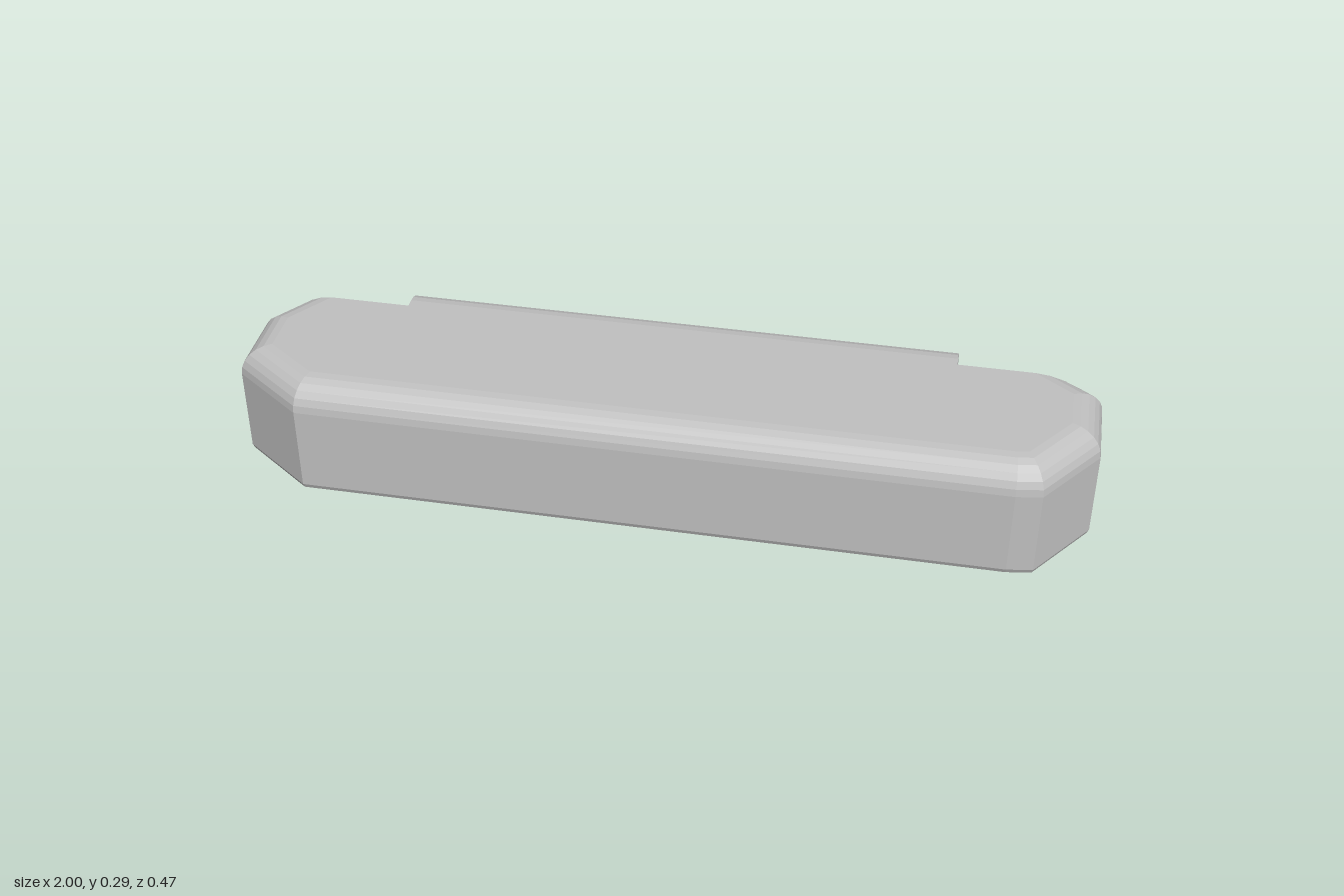
import * as THREE from 'three';

const HEIGHT = 0.293, ROUND = 0.071, STEP_X = 0.66;

// Plan outline at full width, [x, z], from back right round the front to back left
const OUTLINE = [
  [0.83, -0.235], [1, -0.11], [1, 0.06], [0.88, 0.225], [0.82, 0.235],
  [-0.83, 0.235], [-1, 0.11], [-1, -0.06], [-0.88, -0.225], [-0.82, -0.235],
];

// Moves every outline edge inward by d
function insetOutline(d) {
  const n = OUTLINE.length;
  const lines = OUTLINE.map(([x, z], i) => {
    const [x2, z2] = OUTLINE[(i + 1) % n];
    const len = Math.hypot(x2 - x, z2 - z);
    const nx = -(z2 - z) / len, nz = (x2 - x) / len;
    return { nx, nz, c: nx * x + nz * z + d };
  });
  return lines.map((b, i) => {
    const a = lines[(i + n - 1) % n];
    const det = a.nx * b.nz - a.nz * b.nx;
    return [(a.c * b.nz - a.nz * b.c) / det, (a.nx * b.c - a.c * b.nx) / det];
  });
}

// Concave wall of the rear end notches
const notchZ = (y) => -0.083 - (0.408 - Math.sqrt(0.408 ** 2 - (y - 0.085) ** 2));

// Trims an end corner against the notch wall: returns [wall point, corner]
function trimCorner(corner, beyond, cut) {
  if (corner[1] < cut) return [[corner[0], cut], [corner[0], cut]];
  const t = (cut - corner[1]) / (beyond[1] - corner[1]);
  return [[corner[0] + t * (beyond[0] - corner[0]), cut], corner];
}

// Horizontal cross-section at height y
function section(y, inset) {
  const p = insetOutline(inset), cut = notchZ(y), back = p[0][1];
  const [rightWall, rightCorner] = trimCorner(p[1], p[0], cut);
  const [leftWall, leftCorner] = trimCorner(p[7], p[8], cut);
  return [
    [STEP_X, back], [STEP_X, cut], rightWall, rightCorner,
    ...p.slice(2, 7),
    leftCorner, leftWall, [-STEP_X, cut], [-STEP_X, back],
  ].map(([x, z]) => new THREE.Vector3(x, y, z));
}

function bodyGeometry() {
  // Small bottom bevel, straight wall, then the rounded top edge
  const levels = [[0, 0.005], [0.012, 0]];
  for (const y of [0.045, 0.085, 0.125, 0.16, 0.195]) levels.push([y, 0]);
  const steps = 6;
  for (let i = 0; i <= steps; i++) {
    const a = (i / steps) * Math.PI / 2;
    levels.push([HEIGHT - ROUND + ROUND * Math.sin(a), ROUND * (1 - Math.cos(a))]);
  }
  const rings = levels.map(([y, d]) => section(y, d));
  const points = [];

  // Side walls
  for (let k = 0; k < rings.length - 1; k++) {
    const a = rings[k], b = rings[k + 1];
    for (let i = 0; i < a.length; i++) {
      const j = (i + 1) % a.length;
      points.push(a[i], b[i], a[j], a[j], b[i], b[j]);
    }
  }

  // Underside and top
  const cap = (ring, up) => {
    const flat = ring.map((v) => new THREE.Vector2(v.x, v.z));
    for (const face of THREE.ShapeUtils.triangulateShape(flat, [])) {
      const [a, b, c] = face.map((i) => ring[i]);
      const ny = (b.z - a.z) * (c.x - a.x) - (b.x - a.x) * (c.z - a.z);
      if ((ny > 0) === up) points.push(a, b, c);
      else points.push(a, c, b);
    }
  };
  cap(rings[0], false);
  cap(rings[rings.length - 1], true);

  const geometry = new THREE.BufferGeometry().setFromPoints(points);
  geometry.computeVertexNormals();
  return geometry;
}

export function createModel() {
  const grey = new THREE.MeshStandardMaterial({ color: 0xc0c0c0 });
  grey.name = 'light grey';

  const group = new THREE.Group();
  group.name = 'notchedBar';
  const body = new THREE.Mesh(bodyGeometry(), grey);
  body.name = 'body';
  group.add(body);
  return group;
}
